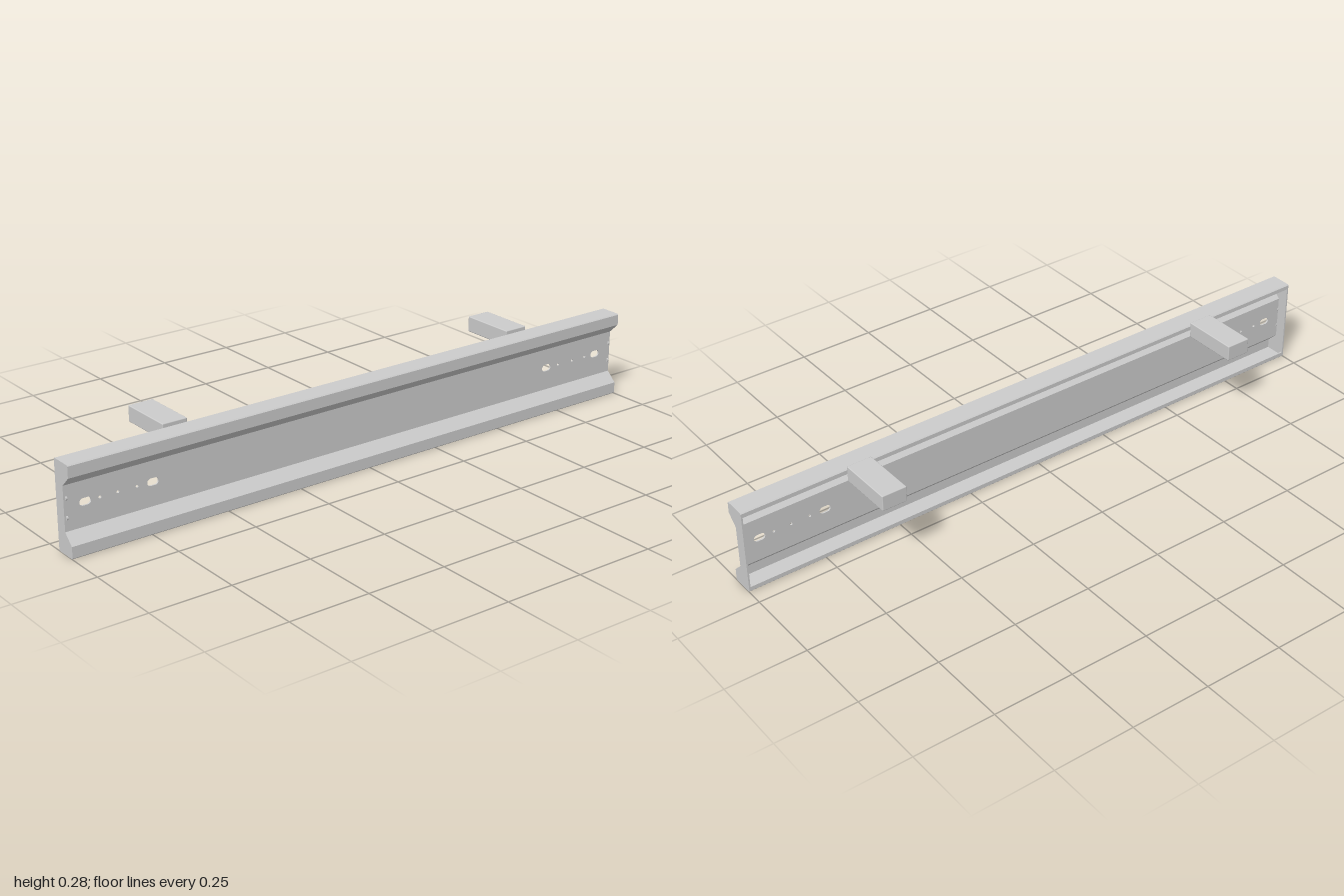
import * as THREE from 'three';
import { RoundedBoxGeometry } from 'three/addons/geometries/RoundedBoxGeometry.js';

const H = 0.27, BACK = 0.053, FACE = 0.123, WEB = 0.091, T = 0.005;

export function createModel() {
  const group = new THREE.Group();
  const mat = new THREE.MeshStandardMaterial({ color: 0xcccccc });
  const add = (geo, name, x = 0, y = 0, z = 0) => {
    const m = new THREE.Mesh(geo, mat);
    m.name = name;
    m.position.set(x, y, z);
    group.add(m);
    return m;
  };
  const shapeOf = (pts) => new THREE.Shape(pts.map(([x, y]) => new THREE.Vector2(x, y)));
  const mirror = (pts) => pts.map(([x, y]) => [x, H - y]).reverse();
  const extrude = (shape, depth) =>
    new THREE.ExtrudeGeometry(shape, { depth, bevelEnabled: false, curveSegments: 6 });

  // Folded sheet rails: return lip, flange, front face and slope to the web
  const rail = [
    [BACK, 0.016], [BACK, 0.003], [BACK + 0.003, 0], [FACE - 0.003, 0], [FACE, 0.003],
    [FACE, 0.037], [WEB, 0.068], [WEB - T, 0.068], [WEB - T, 0.066],
    [FACE - T, 0.035], [FACE - T, T], [BACK + T, T], [BACK + T, 0.016],
  ];
  add(extrude(shapeOf(rail), 1.99), 'lowerRail', 0, 0, -0.995);
  add(extrude(shapeOf(mirror(rail)), 1.99), 'upperRail', 0, 0, -0.995);

  // Web plate with mounting slots and small holes
  const web = shapeOf([[-0.995, 0.068], [0.995, 0.068], [0.995, 0.202], [-0.995, 0.202]]);
  const hole = (z, y, halfLength, r) => {
    const p = new THREE.Path();
    p.absarc(z + halfLength, y, r, -Math.PI / 2, Math.PI / 2, false);
    p.absarc(z - halfLength, y, r, Math.PI / 2, Math.PI * 1.5, false);
    p.closePath();
    web.holes.push(p);
  };
  for (const s of [-1, 1]) {
    for (const z of [0.725, 0.935]) hole(s * z, 0.14, 0.007, 0.011);
    for (const z of [0.775, 0.835, 0.89]) hole(s * z, 0.14, 0.0005, 0.004);
  }
  const webGeo = extrude(web, T);
  webGeo.rotateY(-Math.PI / 2);
  add(webGeo, 'webPlate', WEB);

  // End caps follow the full beam section, with small round tabs through the web
  const outline = [
    [BACK + 0.003, 0], [FACE - 0.003, 0], [FACE, 0.003], [FACE, 0.037], [WEB, 0.068],
  ];
  const lowerCorner = [[BACK, 0.003]];
  const cap = shapeOf([...lowerCorner, ...outline, ...mirror(outline), ...mirror(lowerCorner)]);
  for (const s of [-1, 1]) {
    add(extrude(cap, T), 'endCap', 0, 0, s > 0 ? 0.995 : -1);
    for (const y of [0.107, 0.164]) {
      const tab = new THREE.CylinderGeometry(0.006, 0.006, T, 12);
      tab.rotateX(Math.PI / 2);
      add(tab, 'endCapTab', WEB - 0.001, y, s * 0.9925);
    }
  }

  // Support arms on the open side
  for (const s of [-1, 1]) {
    add(new RoundedBoxGeometry(0.178, 0.05, 0.08, 2, 0.003), 'supportArm', -0.036, 0.256, s * 0.625);
  }
  return group;
}
